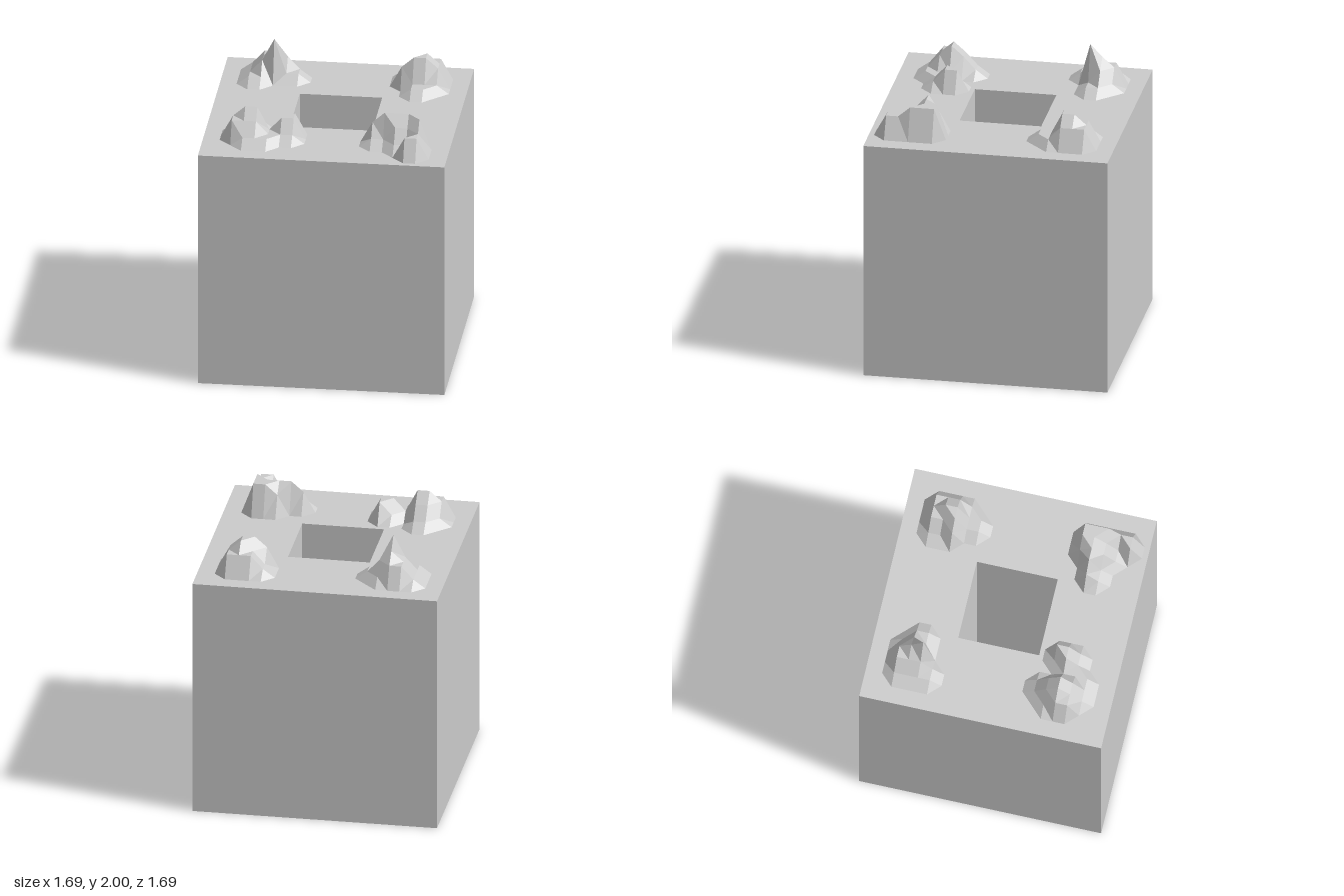
import * as THREE from 'three';

const SIZE = 1.69, HOLE = 0.565, STEP = 0.083;
const LEVELS = [0, 0.06, 0.15, 0.222, 0.31];

// Rock mounds: corner position of each grid and its height levels, row by row towards +z
const MOUNDS = [
  { name: 'backRightMound', x: -0.73, z: -0.73, rows: ['0000000', '0122100', '0123210', '0124110', '0110000', '0000000'] },
  { name: 'backLeftMound', x: 0.31, z: -0.73, rows: ['000000', '012220', '012320', '023320', '001110', '001100', '000000'] },
  { name: 'frontRightMound', x: -0.73, z: 0.23, rows: ['00000000', '00110000', '01220120', '02331220', '02221110', '00111000', '00000000'] },
  { name: 'frontLeftMound', x: 0.225, z: 0.31, rows: ['0000000', '0002330', '0233330', '0112230', '0001120', '0000220', '0000000'] },
];

// Faceted height field; empty cells are skipped and outer corners cut diagonally
function moundGeometry({ x, z, rows }) {
  const positions = [];
  const corner = (i, j) => new THREE.Vector3(x + i * STEP, SIZE + LEVELS[+rows[j][i]], z + j * STEP);
  for (let j = 0; j < rows.length - 1; j++) {
    for (let i = 0; i < rows[0].length - 1; i++) {
      const ring = [corner(i, j), corner(i, j + 1), corner(i + 1, j + 1), corner(i + 1, j)];
      const raised = [0, 1, 2, 3].filter((k) => ring[k].y > SIZE);
      if (!raised.length) continue;
      const add = (...ids) => ids.forEach((k) => positions.push(...ring[k % 4].toArray()));
      if (raised.length === 1) {
        const k = raised[0];
        add(k, k + 1, k + 3);
      } else {
        // split along the flatter diagonal
        const s = Math.abs(ring[0].y - ring[2].y) <= Math.abs(ring[1].y - ring[3].y) ? 0 : 1;
        add(s, s + 1, s + 2, s, s + 2, s + 3);
      }
    }
  }
  const geometry = new THREE.BufferGeometry();
  geometry.setAttribute('position', new THREE.Float32BufferAttribute(positions, 3));
  geometry.computeVertexNormals();
  return geometry;
}

function square(Type, size) {
  const h = size / 2;
  return new Type([[-h, -h], [h, -h], [h, h], [-h, h]].map(([a, b]) => new THREE.Vector2(a, b)));
}

export function createModel() {
  const group = new THREE.Group();
  const material = new THREE.MeshStandardMaterial({ color: 0xcccccc, flatShading: true });

  // Cube with a square shaft running from top to bottom
  const shape = square(THREE.Shape, SIZE);
  shape.holes.push(square(THREE.Path, HOLE));
  const blockGeometry = new THREE.ExtrudeGeometry(shape, { depth: SIZE, bevelEnabled: false });
  blockGeometry.rotateX(-Math.PI / 2);
  const block = new THREE.Mesh(blockGeometry, material);
  block.name = 'block';
  group.add(block);

  // Four rock mounds near the corners of the top
  for (const mound of MOUNDS) {
    const mesh = new THREE.Mesh(moundGeometry(mound), material);
    mesh.name = mound.name;
    group.add(mesh);
  }
  return group;
}
